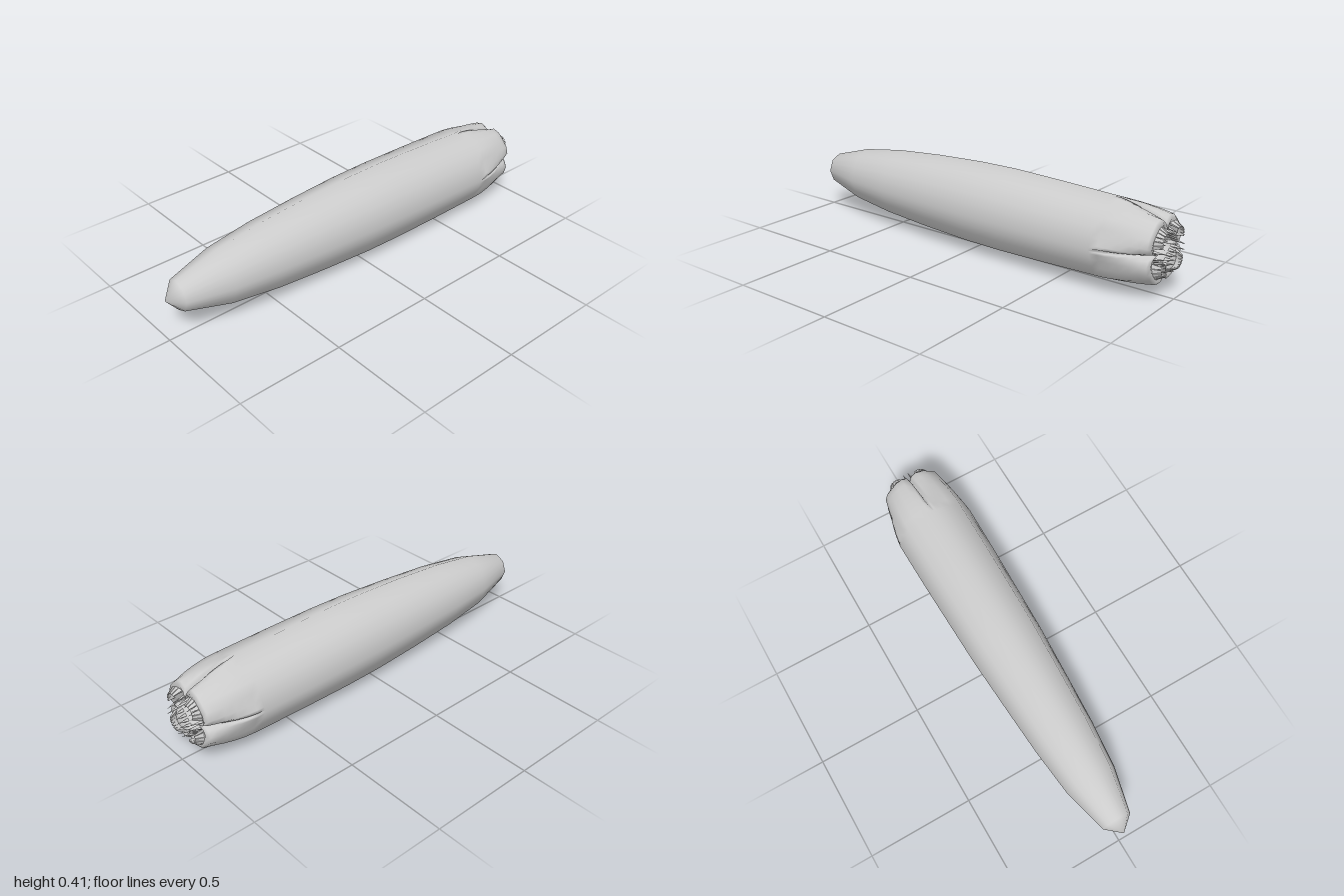
import * as THREE from 'three';

const CY = 0.205;
const skin = new THREE.MeshStandardMaterial({ color: 0xcccccc, side: THREE.DoubleSide });
const enamel = new THREE.MeshStandardMaterial({ color: 0xcccccc, flatShading: true });
const lerp = THREE.MathUtils.lerp;

// Angles (degrees) in one quadrant, and the lip radius reached at each by the mouth rim
const ANGLES = [0, 2, 6, 16, 30, 45, 60, 74, 84, 88];
const LOBE = [0.08, 0.1, 0.128, 0.148, 0.152, 0.148, 0.152, 0.148, 0.128, 0.1];
const N = ANGLES.length * 4;
const angleAt = (j) => THREE.MathUtils.degToRad(ANGLES[j % 10] + 90 * Math.floor(j / 10));

// Eight-sided and four-sided outlines of unit radius
const octagon = (a) => Math.cos(Math.PI / 8) / Math.cos((a % (Math.PI / 4)) - Math.PI / 8);
const diamond = (a) => 1 / (Math.abs(Math.cos(a)) + Math.abs(Math.sin(a)));

// Body stations: x, half height, half depth
const BODY = [
  [-1, 0, 0], [-0.94, 0.075, 0.07], [-0.73, 0.136, 0.122], [-0.5, 0.17, 0.146],
  [-0.25, 0.19, 0.162], [0, 0.202, 0.177], [0.2, 0.204, 0.183], [0.45, 0.196, 0.19], [0.7, 0.186, 0.194],
];

function bodyGeometry() {
  const rings = [];
  const addRing = (x, point) => {
    rings.push(Array.from({ length: N }, (_, j) => {
      const a = angleAt(j), [ry, rz] = point(a, j);
      return [x, CY + ry * Math.cos(a), rz * Math.sin(a)];
    }));
  };

  // Eight-sided trunk
  for (const [x, ry, rz] of BODY) addRing(x, (a) => [ry * octagon(a), rz * octagon(a)]);

  // Head: four swelling lobes parted by slits
  for (const t of [0.15, 0.3, 0.5, 0.7, 0.87, 1]) {
    addRing(0.7 + 0.24 * t, (a, j) => {
      const k = j % 10 === 0 ? t : Math.pow(t, 2);
      const o = octagon(a);
      return [lerp(0.186 * o, LOBE[j % 10], k), lerp(0.194 * o, LOBE[j % 10], k)];
    });
  }

  // Rolled lip, then the gullet narrowing to a point
  addRing(0.953, (a, j) => Array(2).fill(LOBE[j % 10] * 0.9));
  for (const [x, r] of [[0.94, 0.115], [0.9, 0.085], [0.8, 0.065], [0.68, 0.04], [0.5, 0]]) {
    addRing(x, (a, j) => Array(2).fill(Math.min(r * diamond(a), LOBE[j % 10] * 0.88)));
  }

  const index = [];
  for (let i = 0; i < rings.length - 1; i++) {
    for (let j = 0; j < N; j++) {
      const k = (j + 1) % N;
      const a = i * N + j, b = i * N + k, c = a + N, d = b + N;
      index.push(a, b, c, b, d, c);
    }
  }
  const geo = new THREE.BufferGeometry();
  geo.setAttribute('position', new THREE.Float32BufferAttribute(rings.flat(2), 3));
  geo.setIndex(index);
  geo.computeVertexNormals();

  // Round shading across the trunk's eight facets
  const n = geo.attributes.normal, v = new THREE.Vector3();
  for (let i = 0; i < BODY.length; i++) {
    const p = BODY[Math.max(i - 1, 0)], q = BODY[Math.min(i + 1, BODY.length - 1)];
    const slope = (q[1] - p[1]) / (q[0] - p[0]);
    for (let j = 0; j < N; j++) {
      const a = angleAt(j);
      v.set(-slope, Math.cos(a), Math.sin(a));
      if (i === 0) v.set(-1, 0, 0);
      v.normalize();
      n.setXYZ(i * N + j, v.x, v.y, v.z);
    }
  }
  return geo;
}

// Tapered four-sided tooth from base to tip, widest along the side direction
function tooth(name, base, tip, side, width, thick, taper) {
  const dir = tip.clone().sub(base);
  const geo = new THREE.CylinderGeometry(taper * Math.SQRT1_2, Math.SQRT1_2, 1, 4);
  geo.rotateY(Math.PI / 4);
  const up = dir.clone().normalize();
  const out = side.clone().cross(up).normalize();
  const wide = up.clone().cross(out);
  const m = new THREE.Matrix4().makeBasis(
    wide.multiplyScalar(width), dir, out.multiplyScalar(thick));
  m.setPosition(base.clone().add(tip).multiplyScalar(0.5));
  const mesh = new THREE.Mesh(geo.applyMatrix4(m), enamel);
  mesh.name = name;
  return mesh;
}

// Teeth of one lobe, laid out in its own quadrant (+y, +z)
function lobeTeeth() {
  const group = new THREE.Group();
  const V = (x, y, z) => new THREE.Vector3(x, y, z);
  // Broad outer teeth fanned around the lobe
  for (let i = 0; i < 7; i++) {
    const a = THREE.MathUtils.degToRad(-18 + 21 * i), c = Math.cos(a), s = Math.sin(a);
    const at = (x, r) => V(x, 0.056 + r * c, 0.056 + r * s);
    group.add(tooth('outerTooth', at(0.935, 0.056), at(0.982, 0.034), V(0, -s, c), 0.022, 0.012, 0.4));
  }
  // Thin inner teeth leaning over the gullet
  for (let i = 0; i < 6; i++) {
    const u = i / 5, x = i === 0 || i === 5 ? 0.998 : 0.978;
    group.add(tooth('innerTooth',
      V(0.925, lerp(0.096, 0.016, u), lerp(0.016, 0.096, u)),
      V(x, lerp(0.078, 0.012, u), lerp(0.012, 0.078, u)),
      V(0, -1, 1).normalize(), 0.014, 0.012, 0.05));
  }
  return group;
}

export function createModel() {
  const model = new THREE.Group();
  const body = new THREE.Mesh(bodyGeometry(), skin);
  body.name = 'wormBody';
  model.add(body);
  for (let q = 0; q < 4; q++) {
    const teeth = lobeTeeth();
    teeth.name = 'lobeTeeth';
    teeth.position.y = CY;
    teeth.rotation.x = q * Math.PI / 2;
    model.add(teeth);
  }
  return model;
}
